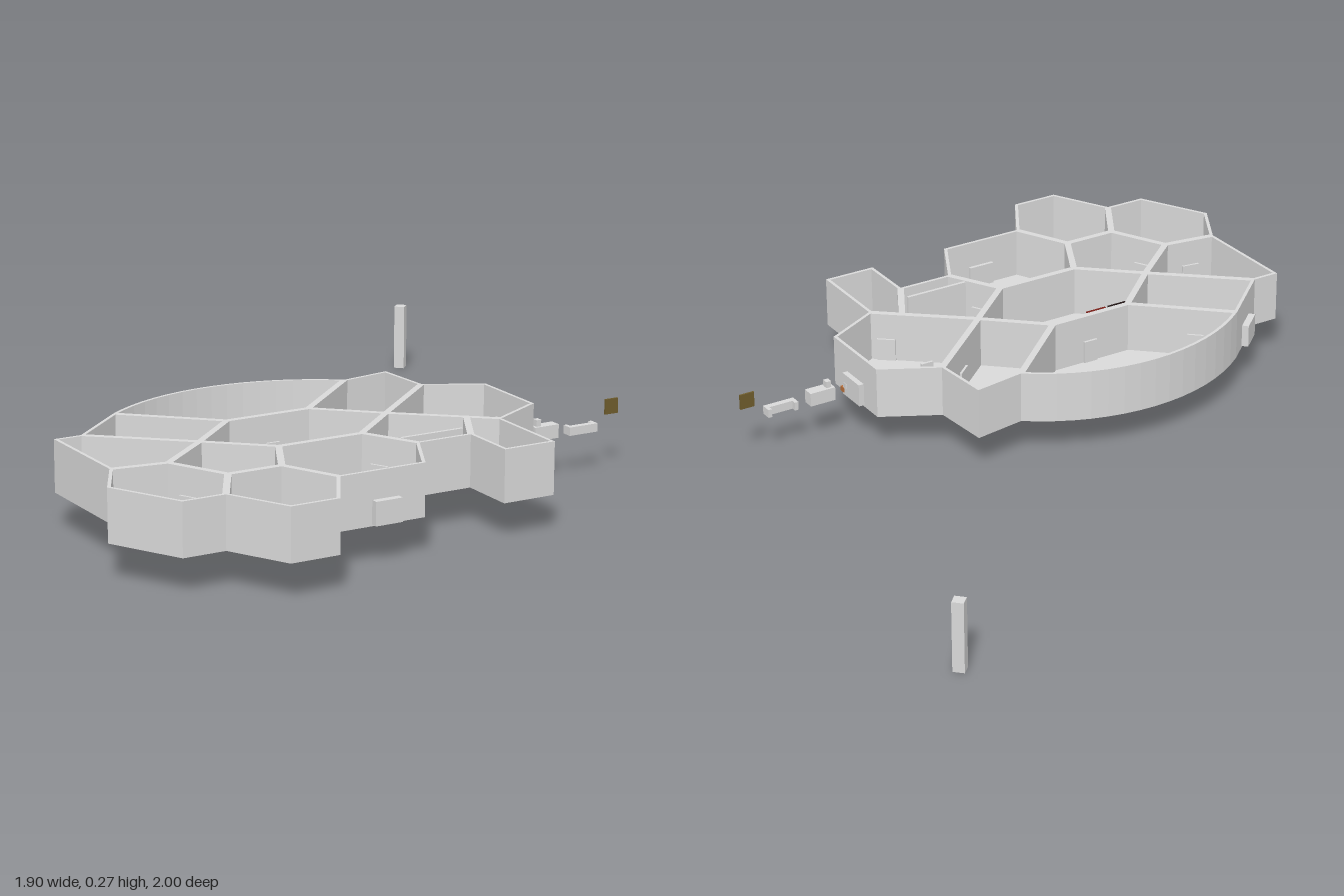
import * as THREE from 'three';

const mat = (name, color) => {
  const m = new THREE.MeshStandardMaterial({ color });
  m.name = name;
  return m;
};

// Shared plan points, as [x, z]
const P = {
  a: [-0.61, -0.05], b: [0.165, -0.05], c: [-0.09, 0.178], d: [-0.36, 0.178],
  e: [0.08, 0.333], f: [-0.09, 0.483], g: [-0.36, 0.483], h: [-0.53, 0.333],
  k: [0.26, 0.483], m: [0.17, 0.648], n: [0, 0.648], p: [-0.445, 0.653],
  q: [-0.612, 0.653], r: [-0.702, 0.477],
  A: [0.325, -0.075], B: [0.34, 0.107], C: [0.51, 0.199], D: [0.51, 0.458],
  E: [0.338, 0.549], F: [0.336, 0.825], G: [0.17, 0.825], H: [-0.09, 0.825],
  I: [-0.36, 0.825], J: [-0.462, 1], K: [-0.612, 1], L: [-0.708, 0.82],
  M: [-0.838, 0.82], N: [-0.953, 0.607], O: [-0.87, 0.453], Q: [-0.875, 0.11],
  R: [-0.79, 0.11],
};
// Points of the curved back wall, between a and b
const arc = [];
for (let i = 1; i < 16; i++) {
  const t = -0.663 + (1.326 * i) / 16;
  arc.push([-0.2225 + 0.63 * Math.sin(t), 0.447 - 0.63 * Math.cos(t)]);
}
// '*' stands for the curved wall
const path = (s) => [...s].flatMap((ch) => (ch === '*' ? arc : [P[ch]]));
const rooms = {
  domeRoom: 'a*bcd', backLeftRoom: 'bABec', entranceRoom: 'BCDEke', annex: 'kEFGm',
  sideRoom: 'ekmnf', centralHall: 'dcefgh', frontRoom: 'gfnHIp', frontHexRoom: 'pIJKLq',
  rightHexRoom: 'rqLMNO', middleRoom: 'hgpqr', rightRoom: 'RhrOQ', backRightRoom: 'adhR',
};

// Moves every edge of a clockwise plan polygon inward by w
function inset(pts, w) {
  const n = pts.length;
  const normal = (p, q) => {
    const l = Math.hypot(q[0] - p[0], q[1] - p[1]);
    return [(p[1] - q[1]) / l, (q[0] - p[0]) / l];
  };
  return pts.map((p, i) => {
    const n1 = normal(pts[(i + n - 1) % n], p);
    const n2 = normal(p, pts[(i + 1) % n]);
    const k = w / (1 + n1[0] * n2[0] + n1[1] * n2[1]);
    return [p[0] + k * (n1[0] + n2[0]), p[1] + k * (n1[1] + n2[1])];
  });
}

const toVectors = (pts) => pts.map(([x, z]) => new THREE.Vector2(x, -z));

function slab(shape, y, height) {
  const geo = new THREE.ExtrudeGeometry(shape, { depth: height, bevelEnabled: false });
  return geo.rotateX(-Math.PI / 2).translate(0, y, 0);
}

export function createModel() {
  const model = new THREE.Group();
  model.name = 'floorPlan';
  const grey = mat('plaster grey', 0xd9d9d9);
  const black = mat('dark trim', 0x201414);
  const red = mat('dark red', 0x7a1f18);
  const orange = mat('orange brown', 0xb8703c);
  const olive = mat('olive brown', 0x6e5c2c);

  const add = (name, geo, material, parent = model) => {
    const mesh = new THREE.Mesh(geo, material);
    mesh.name = name;
    parent.add(mesh);
    return mesh;
  };
  // Box given by its lower and upper limits on each axis
  const box = (name, x0, x1, y0, y1, z0, z1, material = grey, parent = model) => {
    const mesh = add(name, new THREE.BoxGeometry(x1 - x0, y1 - y0, z1 - z0), material, parent);
    mesh.position.set((x0 + x1) / 2, (y0 + y1) / 2, (z0 + z1) / 2);
  };

  // Walls: the outline (counterclockwise) with every room (clockwise) cut out
  const wallShape = new THREE.Shape(toVectors(path('a*bABCDEFGmnHIJKLMNOQR')).reverse());
  for (const s of Object.values(rooms)) {
    wallShape.holes.push(new THREE.Path(toVectors(inset(path(s), 0.01))));
  }
  add('walls', slab(wallShape, 0.11, 0.157), grey);

  // Floors, one for each room; the right room sits higher
  const floors = new THREE.Group();
  floors.name = 'floors';
  model.add(floors);
  for (const [name, s] of Object.entries(rooms)) {
    const raised = name === 'rightRoom';
    const pts = raised ? inset(path(s), 0.005) : path(s);
    add(name + 'Floor', slab(new THREE.Shape(toVectors(pts)), raised ? 0.124 : 0.11, 0.004), grey, floors);
  }
  // Low partition in the side room
  box('partition', -0.02, 0.185, 0.114, 0.267, 0.574, 0.584);

  // Doors straddling walls: wall ends, position along it, width, depth
  const doors = [
    ['R', 'a', 0.5, 0.09, 0.042], ['a', 'd', 0.37, 0.05, 0.034], ['d', 'c', 0.53, 0.046, 0.036],
    ['e', 'B', 0.53, 0.058, 0.034], ['e', 'E', 0.84, 0.058, 0.034], ['f', 'n', 0.35, 0.058, 0.034],
    ['g', 'p', 0.42, 0.058, 0.034], ['r', 'q', 0.38, 0.058, 0.034], ['O', 'r', 0.5, 0.058, 0.034],
    ['q', 'L', 0.5, 0.058, 0.034], ['H', 'I', 0.47, 0.085, 0.042], ['C', 'D', 0.5, 0.1, 0.034],
  ];
  const doorGroup = new THREE.Group();
  doorGroup.name = 'doors';
  model.add(doorGroup);
  for (const [s, t, k, width, depth] of doors) {
    const [p, q] = [P[s], P[t]];
    const door = add('door', new THREE.BoxGeometry(width, 0.07, depth), grey, doorGroup);
    door.position.set(p[0] + k * (q[0] - p[0]), 0.15, p[1] + k * (q[1] - p[1]));
    door.rotation.y = -Math.atan2(q[1] - p[1], q[0] - p[0]);
  }
  box('partitionDoor', 0.14, 0.185, 0.115, 0.185, 0.545, 0.585, grey, doorGroup);

  // Furniture in a row along the hall axis
  const z = 0.362;
  box('hallTable', -0.28, -0.165, 0.114, 0.122, 0.327, 0.397);
  const panels = [
    [-0.65, -0.53, 0.14, 0.16, grey], [-0.48, -0.41, 0.125, 0.17, black], [-0.4, -0.33, 0.14, 0.17, red],
    [-0.33, -0.26, 0.14, 0.145, orange], [-0.26, -0.165, 0.135, 0.16, red], [-0.1, -0.035, 0.13, 0.14, grey],
    [0.08, 0.165, 0.13, 0.14, grey], [0.225, 0.265, 0.125, 0.15, grey], [0.355, 0.41, 0.13, 0.16, red],
    [0.42, 0.47, 0.125, 0.145, grey],
  ];
  for (const [x0, x1, y0, y1, m] of panels) box('hallPanel', x0, x1, y0, y1, z - 0.004, z + 0.004, m);
  box('redStool', 0.305, 0.327, 0.114, 0.14, 0.335, 0.354, red);
  box('orangeStool', 0.278, 0.3, 0.114, 0.135, 0.36, 0.379, orange);

  // Small strips hanging under the floor
  const strips = [
    [-0.33, -0.29, 0.098, orange], [-0.245, -0.21, 0.098, orange], [-0.165, -0.13, 0.1, black],
    [-0.165, -0.13, 0.087, grey], [-0.1, -0.04, 0.105, grey],
  ];
  for (const [x0, x1, y, m] of strips) box('underStrip', x0, x1, y, y + 0.006, z - 0.003, z + 0.003, m);

  // Round seat at the entrance with orange stools on both sides
  const seat = add('roundSeat', new THREE.CylinderGeometry(0.026, 0.026, 0.015, 16), grey);
  seat.position.set(0.503, 0.148, z);
  for (const x of [0.478, 0.512]) box('entranceStool', x, x + 0.017, 0.122, 0.137, 0.37, 0.389, orange);

  // Pieces outside the entrance
  box('cabinet', 0.572, 0.655, 0.122, 0.164, 0.342, 0.378);
  box('cabinetBack', 0.581, 0.597, 0.164, 0.184, 0.35, 0.37);
  box('benchSeat', 0.695, 0.795, 0.122, 0.148, 0.36, 0.379);
  for (const x of [0.695, 0.783]) box('benchArm', x, x + 0.012, 0.122, 0.148, 0.345, 0.36);
  box('squarePanel', 0.832, 0.878, 0.166, 0.213, z - 0.003, z + 0.003, olive);

  // Separate square pillar, turned by 45 degrees
  const pillar = add('pillar', new THREE.BoxGeometry(0.034, 0.213, 0.034), grey);
  pillar.position.set(0.927, 0.1065, -0.976);
  pillar.rotation.y = Math.PI / 4;
  return model;
}
